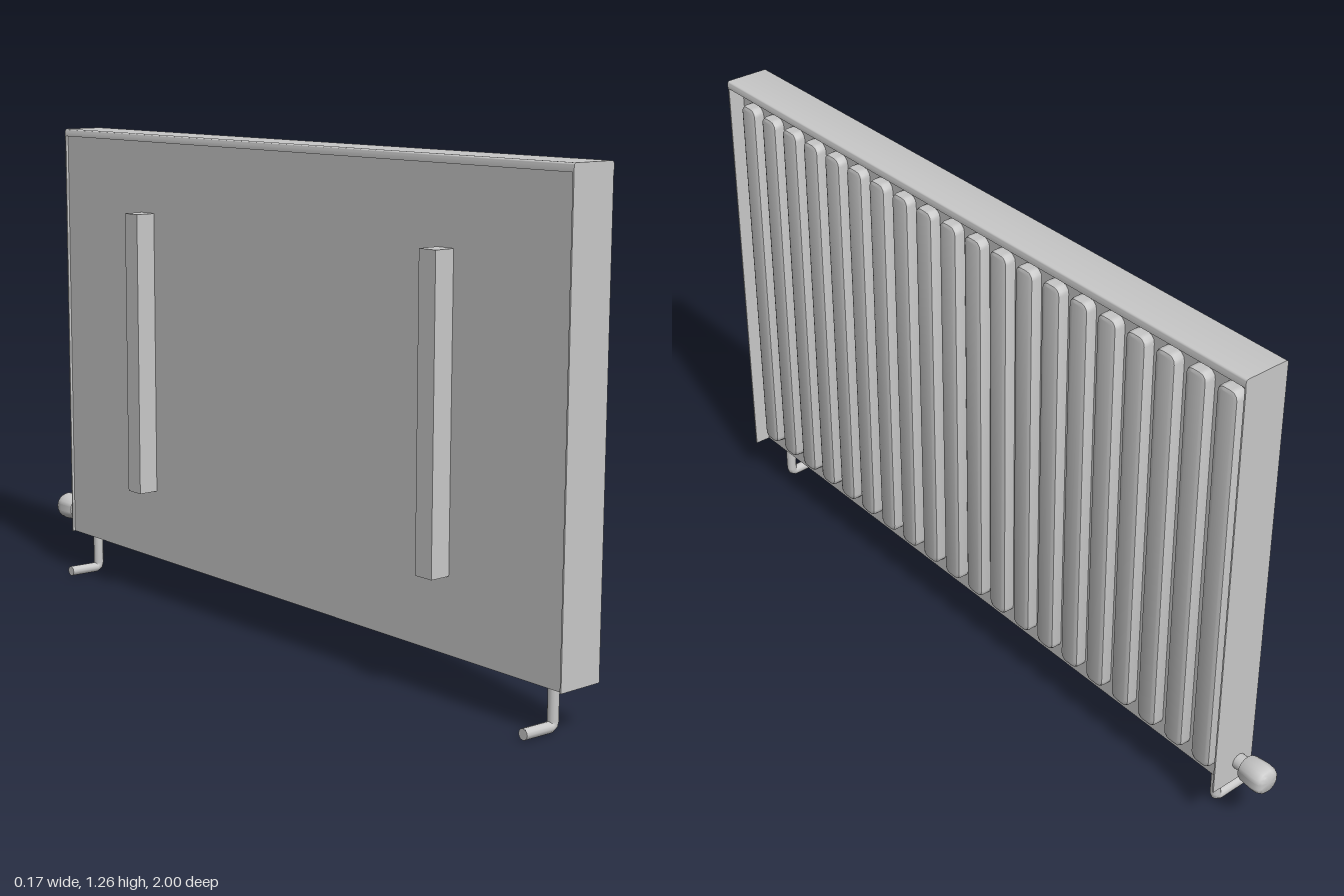
import * as THREE from 'three';
import { mergeVertices, toCreasedNormals } from 'three/addons/utils/BufferGeometryUtils.js';

export function createModel() {
  const group = new THREE.Group();
  group.name = 'radiator';
  const enamel = new THREE.MeshStandardMaterial({ color: 0xc8c8c8 });
  enamel.name = 'grey enamel';

  const add = (name, geometry, x = 0, y = 0, z = 0) => {
    const mesh = new THREE.Mesh(geometry, enamel);
    mesh.name = name;
    mesh.position.set(x, y, z);
    group.add(mesh);
    return mesh;
  };
  // Box given by its limits on each axis
  const box = (name, x0, x1, y0, y1, z0, z1) =>
    add(name, new THREE.BoxGeometry(x1 - x0, y1 - y0, z1 - z0), (x0 + x1) / 2, (y0 + y1) / 2, (z0 + z1) / 2);

  // Core panel, recessed behind the thin side covers
  box('panel', -0.033, 0.04, 0.115, 1.243, -0.896, 0.996);
  box('leftCover', -0.04, 0.083, 0.115, 1.243, 0.996, 1);
  box('rightCover', -0.04, 0.083, 0.115, 1.243, -0.9, -0.896);

  // Top cover with rounded long edges
  const cap = new THREE.Shape();
  cap.moveTo(-0.04, 1.243);
  cap.lineTo(0.084, 1.243);
  cap.lineTo(0.084, 1.255);
  cap.quadraticCurveTo(0.084, 1.263, 0.076, 1.263);
  cap.lineTo(-0.032, 1.263);
  cap.quadraticCurveTo(-0.04, 1.263, -0.04, 1.255);
  cap.closePath();
  const capGeometry = new THREE.ExtrudeGeometry(cap, { depth: 1.9, bevelEnabled: false, curveSegments: 4 });
  add('topCover', toCreasedNormals(capGeometry, 0.6), 0, 0, -0.9);

  // Pressed vertical ribs: rounded rectangles with a bevelled front edge
  const w = 0.021, h = 0.517, r = 0.012;
  const outline = new THREE.Shape();
  outline.moveTo(-w + r, -h);
  outline.lineTo(w - r, -h);
  outline.quadraticCurveTo(w, -h, w, -h + r);
  outline.lineTo(w, h - r);
  outline.quadraticCurveTo(w, h, w - r, h);
  outline.lineTo(-w + r, h);
  outline.quadraticCurveTo(-w, h, -w, h - r);
  outline.lineTo(-w, -h + r);
  outline.quadraticCurveTo(-w, -h, -w + r, -h);
  let rib = new THREE.ExtrudeGeometry(outline, {
    depth: 0.022, bevelThickness: 0.01, bevelSize: 0.01, bevelSegments: 2, curveSegments: 3,
  });
  rib.deleteAttribute('uv');
  rib = toCreasedNormals(mergeVertices(rib), 0.7);
  rib.rotateY(Math.PI / 2);
  const ribCount = 20;
  for (let i = 0; i < ribCount; i++) {
    add('rib', rib, 0.038, 0.679, 0.935 - (i * 1.77) / (ribCount - 1));
  }

  // Wall brackets on the back
  for (const z of [-0.521, 0.613]) box('wallBracket', -0.088, -0.033, 0.302, 1.055, z - 0.027, z + 0.027);

  // Bent supply pipes under each end
  for (const z of [-0.838, 0.935]) {
    const path = new THREE.CurvePath();
    const p = [[0.007, 0.13], [0.007, 0.027], [-0.005, 0.0145], [-0.088, 0.0165]]
      .map(([x, y]) => new THREE.Vector3(x, y, 0));
    path.add(new THREE.LineCurve3(p[0], p[1]));
    path.add(new THREE.QuadraticBezierCurve3(p[1], new THREE.Vector3(0.006, 0.0145, 0), p[2]));
    path.add(new THREE.LineCurve3(p[2], p[3]));
    add('supplyPipe', new THREE.TubeGeometry(path, 24, 0.0135, 12), 0, 0, z);
    const end = add('pipeEnd', new THREE.CircleGeometry(0.0135, 12), -0.088, 0.0165, z);
    end.rotation.y = -Math.PI / 2;
  }

  // Valve: stem and rounded knob, turned about the z axis
  const stem = new THREE.CylinderGeometry(0.02, 0.02, 0.04, 20).rotateX(Math.PI / 2);
  add('valveStem', stem, 0.004, 0.17, -0.913);
  const profile = [[0, 0], [0.024, 0], [0.031, 0.003], [0.034, 0.01], [0.037, 0.045],
    [0.036, 0.061], [0.032, 0.07], [0.025, 0.075], [0, 0.076]];
  const knob = new THREE.LatheGeometry(profile.map(([x, y]) => new THREE.Vector2(x, y)), 24);
  knob.rotateX(-Math.PI / 2);
  add('valveKnob', toCreasedNormals(knob, 0.7), 0.004, 0.17, -0.924);

  return group;
}
